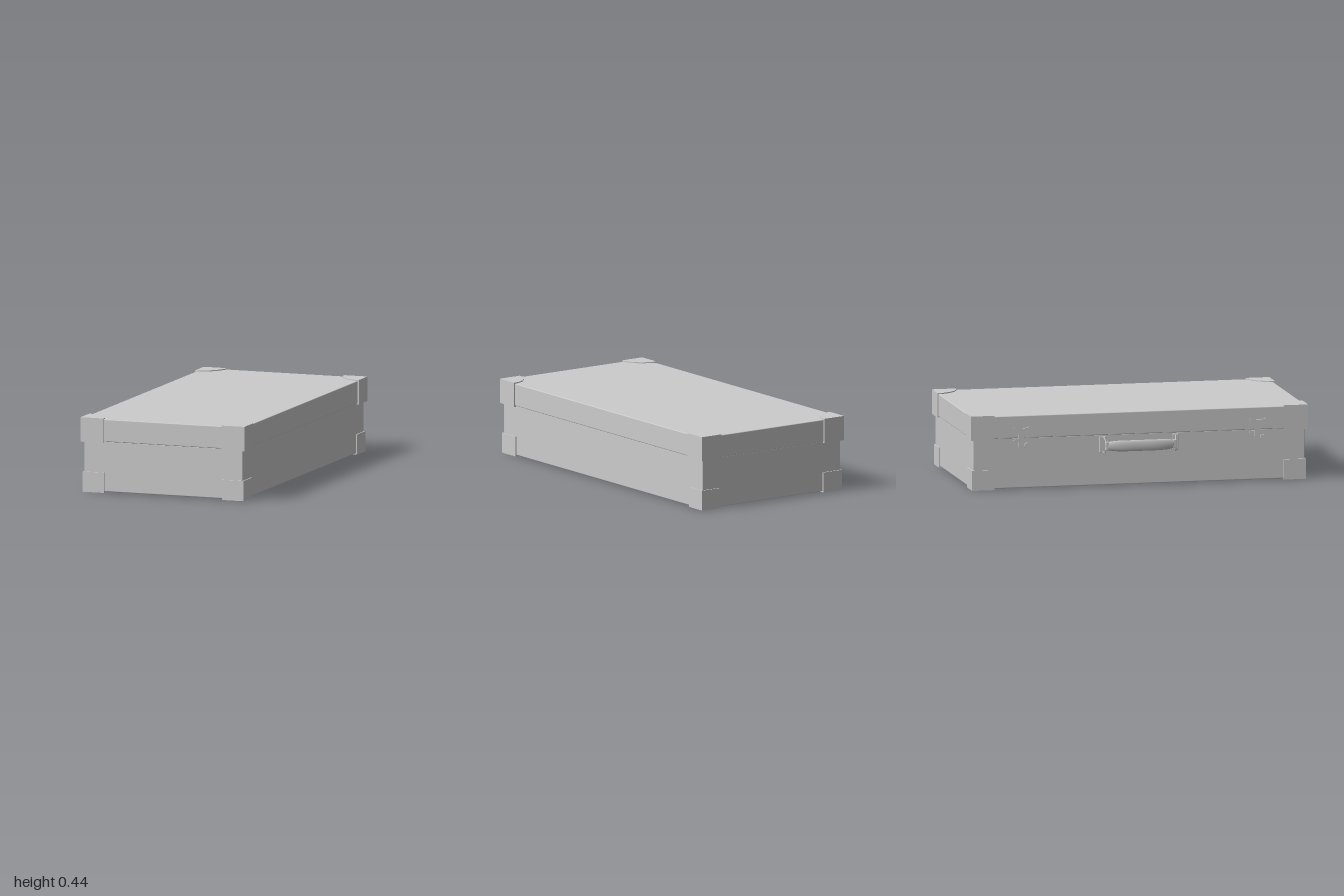
import * as THREE from 'three';
import { RoundedBoxGeometry } from 'three/addons/geometries/RoundedBoxGeometry.js';

const material = new THREE.MeshStandardMaterial({ color: 0xcccccc, side: THREE.DoubleSide });
const CX = 0.03; // centre of the case, the handle sticks out on -x

function add(parent, name, geometry, x = 0, y = 0, z = 0) {
  const mesh = new THREE.Mesh(geometry, material);
  mesh.name = name;
  mesh.position.set(x, y, z);
  parent.add(mesh);
  return mesh;
}

// Corner protector: two side walls and a quarter-round cap; sx, sz pick the corner
function cornerGuard(name, sx, sz, halfX, halfZ, size, y0, y1, capOnTop) {
  const g = new THREE.Group();
  g.name = name;
  const t = 0.014, h = y1 - y0, midY = (y0 + y1) / 2;
  const ox = CX + sx * halfX, oz = sz * halfZ;
  add(g, 'guardEndWall', new THREE.BoxGeometry(size, h, t), ox - sx * size / 2, midY, oz - sz * t / 2);
  add(g, 'guardSideWall', new THREE.BoxGeometry(t, h, size), ox - sx * t / 2, midY, oz - sz * size / 2);
  const outline = [[0, 0], [1, 0], [1, 0.2], [0.82, 0.56], [0.56, 0.82], [0.2, 0.98], [0, 1]];
  const shape = new THREE.Shape(outline.map(([a, b]) => new THREE.Vector2(-sx * a * size, -sz * b * size)));
  const cap = new THREE.ExtrudeGeometry(shape, { depth: t, bevelEnabled: false });
  cap.rotateX(Math.PI / 2);
  add(g, 'guardCap', cap, ox, capOnTop ? y1 : y0 + t, oz);
  return g;
}

// Plate lying on the -x side, drawn as [z, y] points
function sidePlate(points, thickness) {
  const shape = new THREE.Shape(points.map(([z, y]) => new THREE.Vector2(z, y)));
  const geo = new THREE.ExtrudeGeometry(shape, { depth: thickness, bevelEnabled: false });
  return geo.rotateY(-Math.PI / 2);
}

// Bowed grip: rounded cross-sections swept along z, tapering at the ends
function gripGeometry() {
  const rows = 24, sides = 12, pos = [], index = [];
  for (let i = 0; i <= rows; i++) {
    const u = i / rows * 2 - 1;
    const x = -0.532 + 0.018 * Math.pow(Math.abs(u), 3);
    const halfH = 0.032 - 0.012 * Math.pow(Math.abs(u), 6);
    for (let j = 0; j < sides; j++) {
      const a = j / sides * Math.PI * 2;
      pos.push(x + 0.009 * Math.cos(a), 0.245 + halfH * Math.sin(a), u * 0.205);
      if (i < rows) {
        const p = i * sides + j, q = i * sides + (j + 1) % sides;
        index.push(p, q, p + sides, q, q + sides, p + sides);
      }
    }
  }
  for (let j = 1; j < sides - 1; j++) {
    const e = rows * sides;
    index.push(0, j + 1, j, e, e + j, e + j + 1);
  }
  const geo = new THREE.BufferGeometry();
  geo.setAttribute('position', new THREE.Float32BufferAttribute(pos, 3));
  geo.setIndex(index);
  geo.computeVertexNormals();
  return geo;
}

export function createModel() {
  const model = new THREE.Group();
  model.name = 'suitcase';

  // Case halves, the lid slightly larger than the base
  add(model, 'base', new RoundedBoxGeometry(0.98, 0.295, 1.966, 2, 0.005), CX, 0.1575, 0);
  add(model, 'lid', new RoundedBoxGeometry(1.0, 0.131, 1.984, 2, 0.005), CX, 0.3685, 0);

  // Corner protectors
  for (const sx of [-1, 1]) {
    for (const sz of [-1, 1]) {
      model.add(cornerGuard('lidCorner', sx, sz, 0.507, 1.0, 0.142, 0.297, 0.44, true));
      model.add(cornerGuard('baseCorner', sx, sz, 0.497, 0.99, 0.132, 0.003, 0.121, false));
    }
  }

  // Handle: grip, wire loops and mounting plates
  const handle = new THREE.Group();
  handle.name = 'handle';
  model.add(handle);
  add(handle, 'grip', gripGeometry());
  for (const s of [-1, 1]) {
    const loop = [[-0.462, 0.205], [-0.495, 0.203], [-0.51, 0.22], [-0.514, 0.245],
      [-0.51, 0.27], [-0.495, 0.287], [-0.462, 0.285]]
      .map(([x, y]) => new THREE.Vector3(x, y, s * (0.215 - (x + 0.462) * -0.15)));
    add(handle, 'handleLoop', new THREE.TubeGeometry(new THREE.CatmullRomCurve3(loop), 24, 0.004, 6));
    add(handle, 'handleMount', new RoundedBoxGeometry(0.01, 0.095, 0.04, 2, 0.004), -0.462, 0.247, s * 0.215);
    add(handle, 'gripEnd', new RoundedBoxGeometry(0.02, 0.05, 0.02, 2, 0.004), -0.515, 0.245, s * 0.2);
  }

  // Latches: flared hasp on the lid, plate and round lock on the base
  for (const z of [-0.7, 0.7]) {
    const latch = new THREE.Group();
    latch.name = 'latch';
    latch.position.z = z;
    model.add(latch);
    const hasp = [[-0.05, 0.37], [-0.02, 0.36], [0.02, 0.36], [0.05, 0.37], [0.045, 0.345],
      [0.018, 0.325], [0.014, 0.25], [-0.014, 0.25], [-0.018, 0.325], [-0.045, 0.345]];
    add(latch, 'hasp', sidePlate(hasp, 0.008), -0.469);
    const plate = [[-0.05, 0.225], [0.05, 0.225], [0.05, 0.285], [0.03, 0.298], [-0.03, 0.298], [-0.05, 0.285]];
    add(latch, 'latchPlate', sidePlate(plate, 0.006), -0.459);
    const lock = new THREE.CylinderGeometry(0.016, 0.016, 0.012, 20).rotateZ(Math.PI / 2);
    add(latch, 'lock', lock, -0.467, 0.258, 0.034);
  }
  return model;
}
